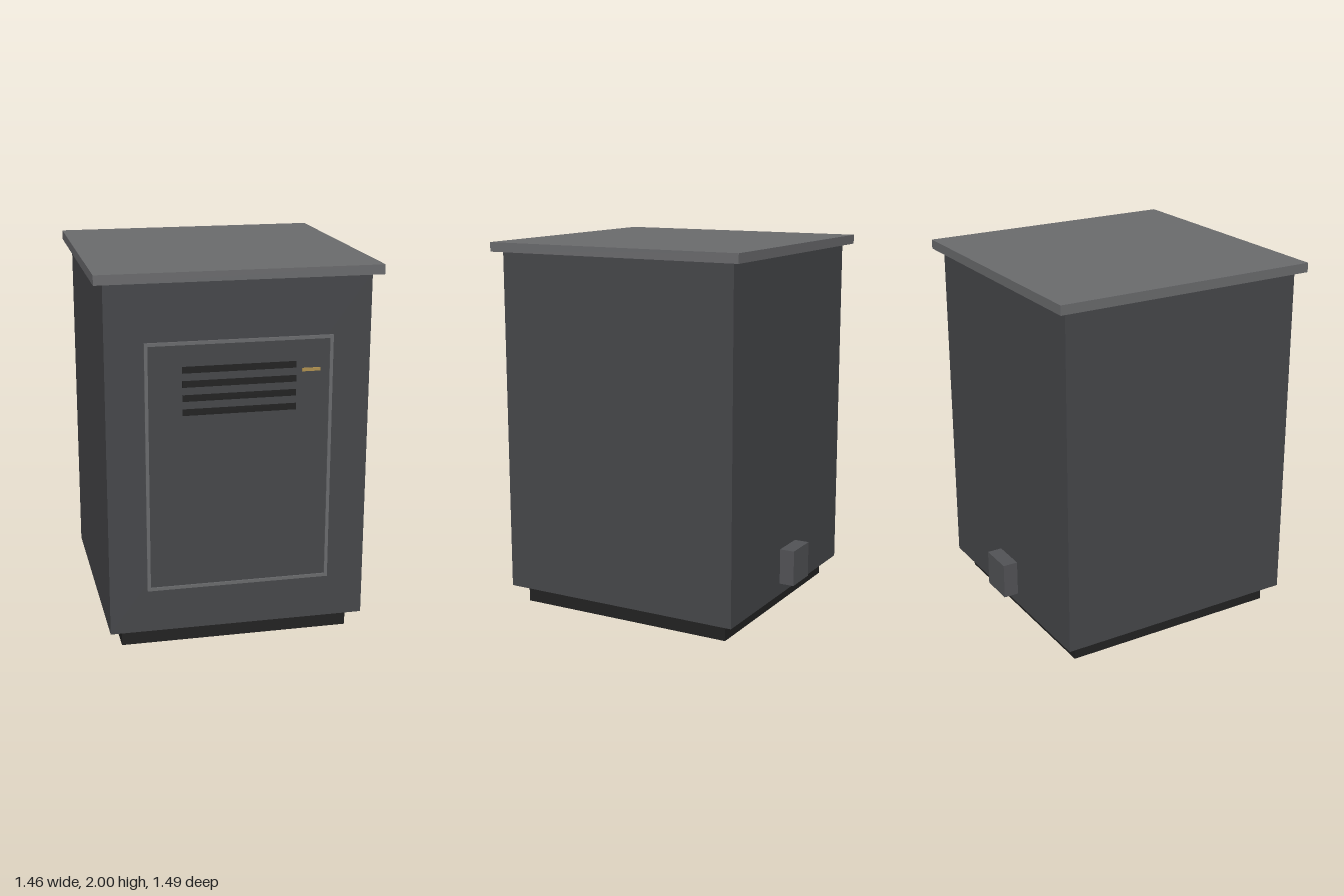
import * as THREE from 'three';

const mat = (color) => new THREE.MeshStandardMaterial({ color });

export function createModel() {
  const model = new THREE.Group();
  model.name = 'cabinet';
  const dark = mat(0x46474a), light = mat(0x6a6b6d), black = mat(0x222222);
  const grey = mat(0x525356), brass = mat(0xb0914f);

  // Box given by its extents along each axis
  const box = (name, [x0, x1], [y0, y1], [z0, z1], material, parent = model) => {
    const mesh = new THREE.Mesh(new THREE.BoxGeometry(x1 - x0, y1 - y0, z1 - z0), material);
    mesh.position.set((x0 + x1) / 2, (y0 + y1) / 2, (z0 + z1) / 2);
    mesh.name = name;
    parent.add(mesh);
    return mesh;
  };

  // Main housing
  box('plinth', [-0.613, 0.613], [0, 0.1], [-0.595, 0.635], black);
  box('body', [-0.68, 0.68], [0.1, 1.95], [-0.662, 0.7], dark);
  box('lid', [-0.728, 0.728], [1.95, 2], [-0.711, 0.747], light);

  // Door with a raised border
  const door = new THREE.Group();
  door.name = 'door';
  model.add(door);
  box('doorPanel', [-0.47, 0.47], [0.345, 1.635], [0.69, 0.703], dark, door);

  const w = 0.483, y0 = 0.33, y1 = 1.647, t = 0.017;
  const outline = new THREE.Shape([[-w, y0], [w, y0], [w, y1], [-w, y1]]
    .map(([x, y]) => new THREE.Vector2(x, y)));
  outline.holes.push(new THREE.Path([[-w + t, y0 + t], [-w + t, y1 - t], [w - t, y1 - t], [w - t, y0 + t]]
    .map(([x, y]) => new THREE.Vector2(x, y))));
  const frame = new THREE.Mesh(
    new THREE.ExtrudeGeometry(outline, { depth: 0.02, bevelEnabled: false }), light);
  frame.position.z = 0.69;
  frame.name = 'doorFrame';
  door.add(frame);

  // Ventilation slots, evenly spaced down the door
  for (let i = 0; i < 4; i++) {
    const y = 1.502 - i * 0.073;
    box('ventSlot', [-0.293, 0.293], [y - 0.017, y + 0.017], [0.69, 0.706], black, door);
  }
  box('doorHandle', [0.322, 0.417], [1.464, 1.481], [0.69, 0.709], brass, door);

  // Connection box low on the back
  box('connectionBox', [-0.097, 0.097], [0.163, 0.358], [-0.744, -0.65], grey);

  return model;
}
